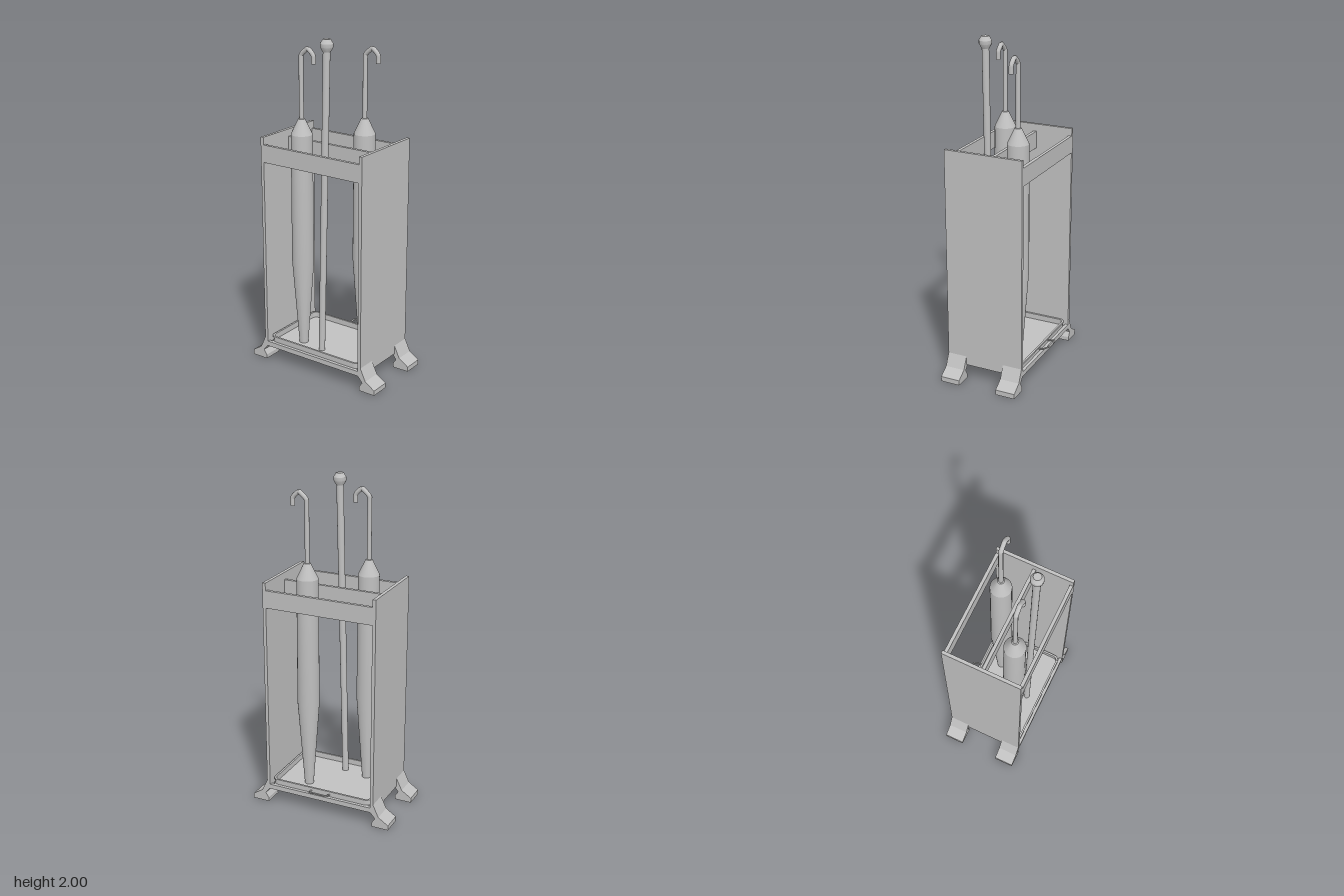
import * as THREE from 'three';
import { toCreasedNormals } from 'three/addons/utils/BufferGeometryUtils.js';

const grey = new THREE.MeshStandardMaterial({ color: 0xc0c0c0 });
grey.name = 'grey';

const v2 = (pts) => pts.map(([x, y]) => new THREE.Vector2(x, y));
const v3 = (pts) => pts.map((p) => new THREE.Vector3(...p));

function add(parent, name, geometry, x = 0, y = 0, z = 0) {
  const mesh = new THREE.Mesh(geometry, grey);
  mesh.name = name;
  mesh.position.set(x, y, z);
  parent.add(mesh);
  return mesh;
}

// Box given by its limits on each axis
function box(parent, name, [x0, x1], [y0, y1], [z0, z1]) {
  return add(parent, name, new THREE.BoxGeometry(x1 - x0, y1 - y0, z1 - z0),
    (x0 + x1) / 2, (y0 + y1) / 2, (z0 + z1) / 2);
}

// Tube along straight segments
function bentRod(points, radius, sides = 12) {
  const path = new THREE.CurvePath();
  const p = v3(points);
  for (let i = 1; i < p.length; i++) path.add(new THREE.LineCurve3(p[i - 1], p[i]));
  return new THREE.TubeGeometry(path, 60, radius, sides);
}

// Rounded rectangle, usable as a shape or a hole
function roundedRect(Type, w, d, r) {
  const s = new Type();
  const x = w / 2, y = d / 2;
  s.absarc(x - r, y - r, r, 0, Math.PI / 2);
  s.absarc(-x + r, y - r, r, Math.PI / 2, Math.PI);
  s.absarc(-x + r, -y + r, r, Math.PI, Math.PI * 1.5);
  s.absarc(x - r, -y + r, r, Math.PI * 1.5, Math.PI * 2);
  s.closePath();
  return s;
}

function slab(shape, height) {
  const g = new THREE.ExtrudeGeometry(shape, { depth: height, bevelEnabled: false, curveSegments: 6 });
  return g.rotateX(-Math.PI / 2);
}

function createStand() {
  const stand = new THREE.Group();
  stand.name = 'stand';

  // Side panels
  box(stand, 'leftPanel', [0.333, 0.353], [0.09, 1.41], [-0.22, 0.26]);
  box(stand, 'rightPanel', [-0.353, -0.333], [0.09, 1.41], [-0.22, 0.26]);

  // Upper rails and bottom frame
  for (const [name, z] of [['front', 0.24], ['middle', 0.01], ['back', -0.22]]) {
    box(stand, name + 'Rail', [-0.333, 0.333], [1.26, 1.365], [z, z + 0.02]);
    if (name !== 'middle') box(stand, name + 'BaseRail', [-0.333, 0.333], [0.09, 0.12], [z, z + 0.02]);
  }

  // Splayed feet
  const profile = new THREE.Shape(v2([
    [0.335, 0.09], [0.345, 0.025 + 0.055], [0.365, 0.055], [0.345, 0.025], [0.345, 0],
    [0.45, 0], [0.45, 0.03], [0.388, 0.07], [0.348, 0.155], [0.335, 0.155],
  ]));
  const footGeometry = new THREE.ExtrudeGeometry(profile, { depth: 0.12, bevelEnabled: false });
  for (const [end, z] of [['front', 0.14], ['back', -0.22]]) {
    add(stand, end + 'LeftFoot', footGeometry, 0, 0, z);
    const foot = add(stand, end + 'RightFoot', footGeometry, 0, 0, z + 0.12);
    foot.rotation.y = Math.PI;
  }
  return stand;
}

function createTray() {
  const tray = new THREE.Group();
  tray.name = 'dripTray';
  const w = 0.65, d = 0.45, cz = 0.02;

  // Floor, wall and small outer lip
  add(tray, 'trayFloor', slab(roundedRect(THREE.Shape, w, d, 0.035), 0.008), 0, 0.112, cz);
  const wall = roundedRect(THREE.Shape, w - 0.008, d - 0.008, 0.035);
  wall.holes.push(roundedRect(THREE.Path, w - 0.024, d - 0.024, 0.028));
  add(tray, 'trayWall', toCreasedNormals(slab(wall, 0.03), 0.6), 0, 0.118, cz);
  const lip = roundedRect(THREE.Shape, w, d, 0.038);
  lip.holes.push(roundedRect(THREE.Path, w - 0.024, d - 0.024, 0.028));
  add(tray, 'trayLip', toCreasedNormals(slab(lip, 0.01), 0.6), 0, 0.145, cz);

  // Pull handle at the back
  add(tray, 'trayHandle', bentRod([
    [-0.061, 0.132, -0.2], [-0.058, 0.14, -0.228], [-0.048, 0.15, -0.253], [0, 0.155, -0.26],
    [0.048, 0.15, -0.253], [0.058, 0.14, -0.228], [0.061, 0.132, -0.2],
  ], 0.005, 8));
  return tray;
}

// Folded umbrella with a crook handle
function createUmbrella(name, x, z) {
  const umbrella = new THREE.Group();
  umbrella.name = name;
  umbrella.position.set(x, 0, z);
  const canopy = new THREE.LatheGeometry(v2([
    [0, 0.12], [0.027, 0.12], [0.066, 0.66], [0.063, 1.43], [0.02, 1.52], [0, 1.525],
  ]), 24);
  add(umbrella, 'canopy', toCreasedNormals(canopy, 0.35));
  add(umbrella, 'shaftAndCrook', bentRod([
    [0, 1.5, 0], [0, 1.885, 0], [0.012, 1.9, 0], [0.048, 1.93, 0],
    [0.08, 1.902, 0], [0.088, 1.888, 0], [0.088, 1.848, 0],
  ], 0.0135));
  const tip = new THREE.CylinderGeometry(0.0135, 0.0135, 0.006, 12);
  add(umbrella, 'crookTip', tip, 0.088, 1.848, 0);
  return umbrella;
}

// Leaning walking stick with a faceted knob
function createStick() {
  const stick = new THREE.Group();
  stick.name = 'walkingStick';
  const lean = Math.atan2(0.042, 1.81);
  stick.position.set(0.0, 0.12, 0.155);
  stick.rotation.z = -lean;
  const shaft = new THREE.CylinderGeometry(0.021, 0.019, 1.82, 16);
  add(stick, 'stickShaft', shaft, 0, 0.91, 0);
  const knob = new THREE.LatheGeometry(v2([
    [0, 1.81], [0.023, 1.81], [0.037, 1.836], [0.037, 1.856], [0.022, 1.88], [0, 1.88],
  ]), 16);
  add(stick, 'stickKnob', toCreasedNormals(knob, 0.5));
  return stick;
}

export function createModel() {
  const model = new THREE.Group();
  model.name = 'umbrellaStand';
  model.add(
    createStand(),
    createTray(),
    createUmbrella('frontUmbrella', -0.155, 0.13),
    createUmbrella('backUmbrella', 0.13, -0.09),
    createStick(),
  );
  return model;
}
